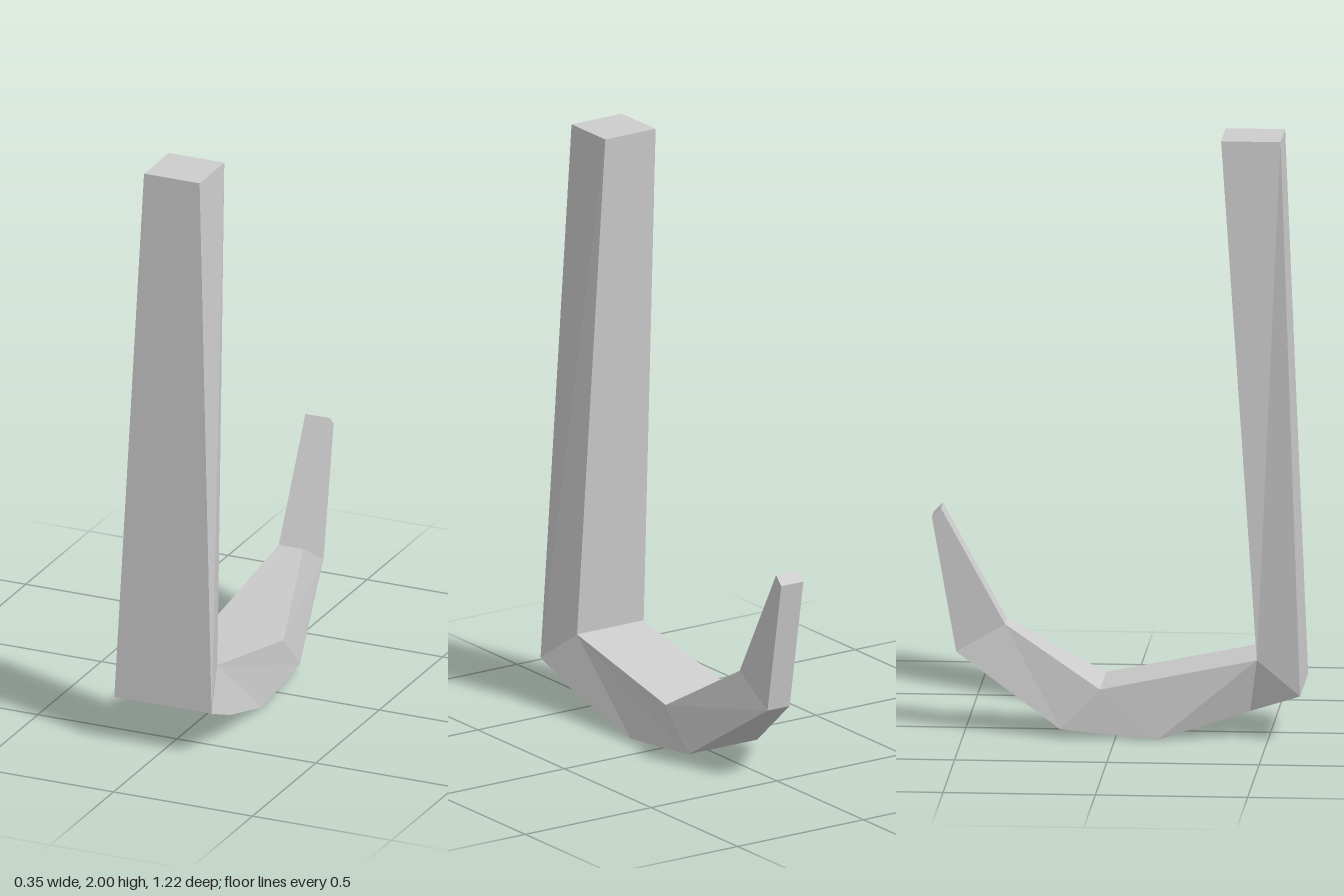
import * as THREE from 'three';

// Cross-sections along the hook, from the shaft top to the tip.
// outer / inner edge: [xLeftEdge, xRightEdge, y, z]
const SHAFT_TOP = { outer: [-0.1, 0.1, 2, 0.54], inner: [-0.1, 0.1, 2, 0.345] };
const CORNER = [-0.135, 0.13, 0.27, 0.465];
const HEEL = { outer: [-0.175, 0.175, 0.16, 0.61], inner: CORNER };
const SHAFT = [SHAFT_TOP, HEEL];
const BEND = [
  HEEL,
  { outer: [-0.09, 0.165, 0.09, 0.44], inner: CORNER },
  { outer: [-0.142, 0.14, 0, 0.14], inner: CORNER },
  { outer: [-0.142, 0.132, 0.03, -0.18], inner: [-0.142, 0.132, 0.165, -0.05] },
  { outer: [-0.03, 0.058, 0.26, -0.53], inner: [-0.03, 0.058, 0.355, -0.37] },
  { outer: [-0.03, 0.058, 0.71, -0.61], inner: [-0.03, 0.058, 0.74, -0.58] },
];

// Four corners of a section, running round from the outer edge to the inner edge
function corners({ outer: o, inner: i }) {
  return [[o[0], o[2], o[3]], [o[1], o[2], o[3]], [i[1], i[2], i[3]], [i[0], i[2], i[3]]]
    .map((p) => new THREE.Vector3(...p));
}

// Flat-faced loft through the sections, with optional end caps
function loft(sections, capStart, capEnd) {
  const rings = sections.map(corners);
  const points = [];
  const tri = (a, b, c) => {
    if (!a.equals(b) && !b.equals(c) && !a.equals(c)) points.push(a, b, c);
  };
  const quad = (a, b, c, d) => { tri(a, b, c); tri(a, c, d); };
  for (let r = 0; r < rings.length - 1; r++) {
    const p = rings[r], q = rings[r + 1];
    for (let j = 0; j < 4; j++) {
      const k = (j + 1) % 4;
      quad(q[j], q[k], p[k], p[j]);
    }
  }
  if (capStart) quad(...rings[0]);
  if (capEnd) quad(...rings[rings.length - 1].slice().reverse());
  const geometry = new THREE.BufferGeometry().setFromPoints(points);
  geometry.computeVertexNormals();
  return geometry;
}

export function createModel() {
  const group = new THREE.Group();
  group.name = 'hook';
  const grey = new THREE.MeshStandardMaterial({ color: 0xcccccc, flatShading: true });
  grey.name = 'light grey';

  const add = (name, geometry) => {
    const mesh = new THREE.Mesh(geometry, grey);
    mesh.name = name;
    group.add(mesh);
  };
  add('shaft', loft(SHAFT, true, false)); // tapered upright
  add('hookBend', loft(BEND, false, true)); // curved foot ending in the raised tip
  return group;
}
